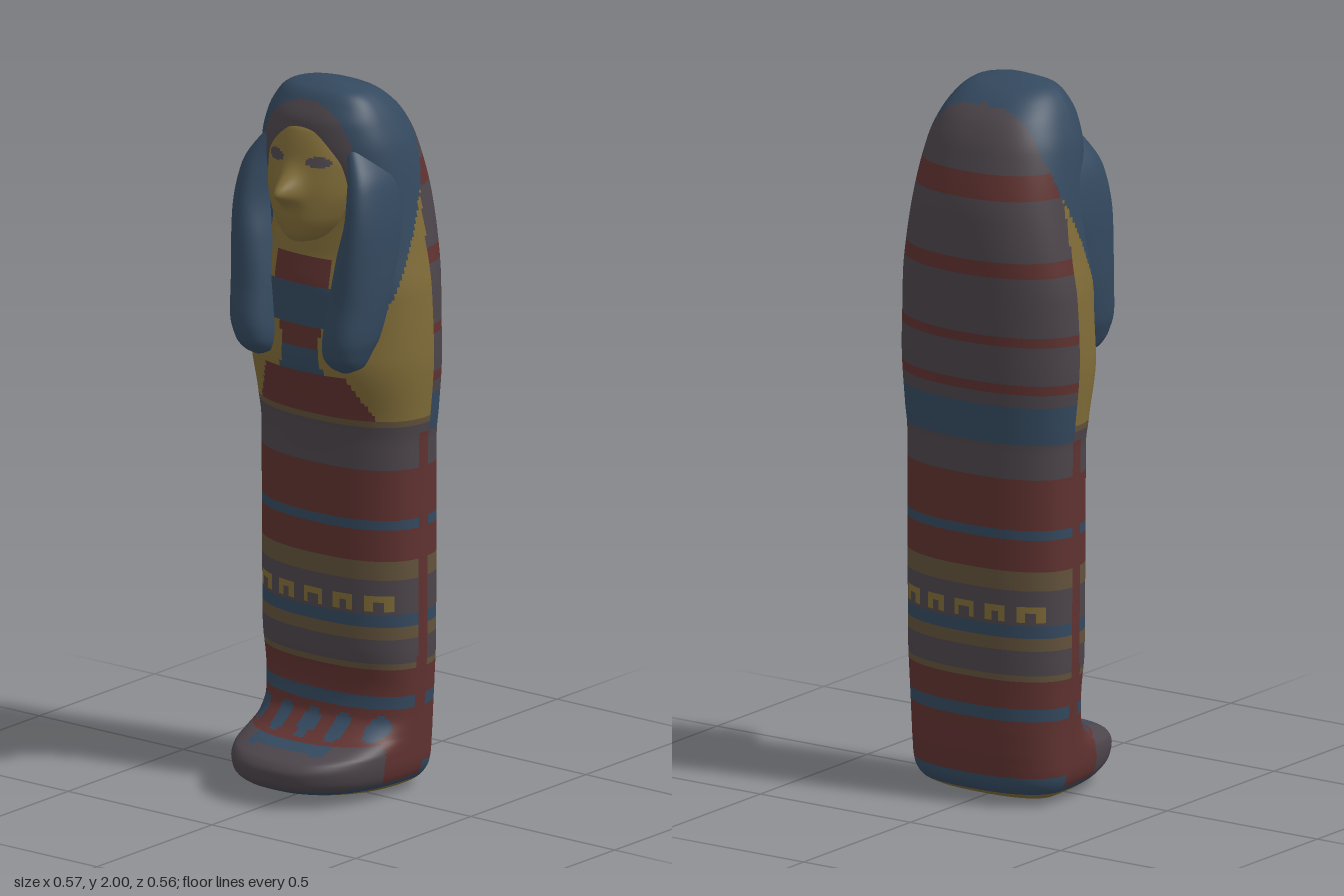
import * as THREE from 'three';

const names = ['blue', 'gold', 'red', 'greyViolet', 'brown'];
const hex = [0x34495f, 0x806c38, 0x5f3230, 0x4c454b, 0x62523b];
const [BLUE, GOLD, RED, GREY, BROWN] = [0, 1, 2, 3, 4];

// Section rows: [y, half width, front z, back z, sideways offset]
const caseRows = [
  [0, 0.12, -0.01, -0.13], [0.015, 0.19, 0.14, -0.18], [0.04, 0.225, 0.24, -0.225],
  [0.07, 0.24, 0.275, -0.24], [0.1, 0.245, 0.28, -0.243], [0.125, 0.246, 0.262, -0.245],
  [0.145, 0.247, 0.2, -0.247], [0.17, 0.248, 0.115, -0.248], [0.22, 0.25, 0.055, -0.25],
  [0.3, 0.255, 0.043, -0.25], [0.42, 0.261, 0.06, -0.25], [1.0, 0.264, 0.066, -0.25],
  [1.07, 0.272, 0.075, -0.252], [1.25, 0.286, 0.122, -0.263], [1.42, 0.279, 0.122, -0.275],
  [1.55, 0.259, 0.1, -0.28], [1.65, 0.243, 0.09, -0.276], [1.83, 0.212, 0.115, -0.234],
  [1.9, 0.186, 0.108, -0.2], [1.95, 0.156, 0.083, -0.15], [1.98, 0.122, 0.06, -0.1],
  [2.0, 0.04, 0.015, -0.02],
];
const lappetRows = [
  [1.22, 0.015, 0.12, 0.07, 0.15], [1.235, 0.042, 0.145, 0.05, 0.15], [1.27, 0.058, 0.172, 0.03, 0.152],
  [1.32, 0.067, 0.18, 0, 0.16], [1.42, 0.07, 0.166, -0.04, 0.17], [1.55, 0.062, 0.156, -0.07, 0.183],
  [1.65, 0.05, 0.143, -0.08, 0.193], [1.75, 0.042, 0.122, -0.08, 0.183], [1.88, 0.015, 0.06, -0.03, 0.12],
];
const faceRows = [
  [1.565, 0.025, 0.115, 0], [1.575, 0.055, 0.145, 0], [1.6, 0.09, 0.161, 0], [1.65, 0.124, 0.17, 0],
  [1.72, 0.146, 0.165, 0], [1.79, 0.15, 0.148, 0], [1.88, 0.11, 0.117, 0], [1.91, 0.05, 0.08, 0],
];

// Monotone cubic interpolation of section rows, sampled at even heights
function sampleRows(rows, step) {
  const slope = (i, k) => (rows[i + 1][k] - rows[i][k]) / (rows[i + 1][0] - rows[i][0]);
  const tangent = (i, k) => {
    if (i === 0) return slope(0, k);
    if (i === rows.length - 1) return slope(i - 1, k);
    const a = slope(i - 1, k), b = slope(i, k);
    return a * b <= 0 ? 0 : (2 * a * b) / (a + b);
  };
  const out = [];
  for (let i = 0; i < rows.length - 1; i++) {
    const h = rows[i + 1][0] - rows[i][0];
    const n = Math.max(4, Math.ceil(h / step));
    for (let j = 0; j < n; j++) {
      const t = j / n, t2 = t * t, t3 = t2 * t;
      out.push(rows[i].map((v, k) => k === 0 ? v + h * t
        : (2 * t3 - 3 * t2 + 1) * v + (t3 - 2 * t2 + t) * h * tangent(i, k)
        + (3 * t2 - 2 * t3) * rows[i + 1][k] + (t3 - t2) * h * tangent(i + 1, k)));
    }
  }
  out.push(rows[rows.length - 1]);
  return out;
}

// Closed loft through the sections: middle gives the z of the widest point, square the
// squareness, push the relief on the front; paint(x, y, z) picks the material of each face
function loft(name, materials, { rows, cols, step, middle, square, paint, side = 1, push = () => 0 }) {
  const rings = sampleRows(rows, step), pos = [], sets = materials.map(() => []);
  const pow = (v, e) => Math.sign(v) * Math.abs(v) ** e;
  for (const [y, w, zf, zb, cx = 0] of rings) {
    const zc = middle(y, zf, zb), e = 2 / square(y);
    for (let i = 0; i < cols; i++) {
      const a = (i / cols) * Math.PI * 2, c = pow(Math.cos(a), e);
      const x = side * cx + w * pow(Math.sin(a), e);
      pos.push(x, y, zc + c * (c > 0 ? zf - zc : zc - zb) + (c > 0 ? push(x, y) : 0));
    }
  }
  const face = (...v) => {
    const m = [0, 1, 2].map(k => v.reduce((s, p) => s + pos[p * 3 + k], 0) / v.length);
    const set = sets[paint(...m)];
    set.push(v[0], v[1], v[2]);
    if (v.length === 4) set.push(v[0], v[2], v[3]);
  };
  const last = (rings.length - 1) * cols, bottom = rings.length * cols;
  for (const [y, , zf, zb, cx = 0] of [rings[0], rings[rings.length - 1]]) {
    pos.push(side * cx, y, middle(y, zf, zb));
  }
  for (let i = 0; i < cols; i++) {
    const j = (i + 1) % cols;
    for (let r = 0; r < last; r += cols) face(r + i, r + j, r + cols + j, r + cols + i);
    face(bottom, j, i);
    face(bottom + 1, last + i, last + j);
  }
  const g = new THREE.BufferGeometry();
  g.setAttribute('position', new THREE.Float32BufferAttribute(pos, 3));
  g.setIndex(sets.flat());
  let start = 0;
  sets.forEach((s, m) => {
    if (s.length) g.addGroup(start, s.length, m);
    start += s.length;
  });
  g.computeVertexNormals();
  const mesh = new THREE.Mesh(g, materials);
  mesh.name = name;
  return mesh;
}

// Bands are [upper height, colour], from the bottom up
const band = (bands, y) => bands.find(b => y < b[0])[1];
const legBands = [[0.25, RED], [0.28, BLUE], [0.36, RED], [0.375, BROWN], [0.45, GREY], [0.485, BROWN],
  [0.52, BLUE], [0.62, GREY], [0.67, BROWN], [0.76, RED], [0.79, BLUE], [0.93, RED]];
const frontBands = [...legBands, [1.05, GREY], [9, BROWN]];
const backBands = [[0.085, BLUE], ...legBands, [1.03, GREY], [1.13, BLUE], [1.17, GREY], [1.2, RED],
  [1.3, GREY], [1.335, RED], [1.5, GREY], [1.545, RED], [1.71, GREY], [1.78, RED], [9, GREY]];
const bibBands = [[1.2, RED], [1.27, BLUE], [1.33, RED], [1.45, BLUE], [1.52, RED], [9, GOLD]];

function paintCase(x, y, z) {
  const ax = Math.abs(x), col = Math.abs(x / 0.098 - Math.round(x / 0.098)) * 0.098;
  if (y < 0.035 && z < 0.19) return GOLD;
  // Row of small gold ornaments round the legs
  if (y > 0.53 && y < 0.57 && col < 0.032 && ax < 0.24 && (y > 0.553 || col > 0.014)) return GOLD;
  const edge = y < 1.68 ? -0.11 : -0.11 - Math.min(0.045, (y - 1.68) * 0.3);
  if (z < edge) return band(backBands, y);
  // Foot with its toe cap and dots
  if (y < 0.25) {
    if (y < 0.05) return BLUE;
    if (y < 0.155 && z > 0.04) return z > 0.14 && z < 0.195 && ax < 0.13 && y > 0.13 ? BLUE : GREY;
    return z > -0.02 && (col / 0.026) ** 2 + ((y - 0.195) / 0.032) ** 2 < 1 ? BLUE : RED;
  }
  if (y < 1.03 && z < -0.07) return RED;
  if (y < 1.068) return band(frontBands, y);
  // Headband and headdress
  if (y > 1.7) return z > 0 && (x / 0.17) ** 2 + ((y - 1.755) / 0.205) ** 2 < 1 ? GREY : BLUE;
  // Chest panel, with gold either side and the headdress over the shoulders
  const halfBib = y < 1.2 ? 0.2 - (y - 1.07) * 0.5 : y < 1.33 ? 0.06 + Math.abs(y - 1.27) * 0.2 : y < 1.45 ? 0.11 : 0.09;
  if (z > 0 && ax < halfBib) return band(bibBands, y);
  if (y > 1.24 && ax > 0.13 && z > 0.11 - (y - 1.22) * 0.46) return BLUE;
  return GOLD;
}

// Eyes on the gold face
function paintFace(x, y, z) {
  const eye = ((Math.abs(x) - 0.072) / 0.034) ** 2 + ((y - 1.804) / 0.015) ** 2 < 1;
  return z > 0.04 && eye ? GREY : GOLD;
}

// Nose ridge: long slope above the tip, short one below
const nose = (x, y) => 0.062 * Math.exp(-((x / 0.034) ** 2) - ((y - 1.72) / (y > 1.72 ? 0.045 : 0.03)) ** 2);

export function createModel() {
  const materials = hex.map((color, i) => {
    const m = new THREE.MeshStandardMaterial({ color });
    m.name = names[i];
    return m;
  });
  const group = new THREE.Group();
  group.name = 'mummyCoffin';
  group.add(loft('coffinCase', materials, {
    rows: caseRows, cols: 160, step: 0.009, paint: paintCase,
    middle: y => -0.1 + 0.1 * (Math.max(0, y - 1.5) / 0.5) ** 1.5,
    square: y => 2.4 - 0.3 * Math.exp(-(((y - 1.35) / 0.2) ** 2)),
  }));
  group.add(loft('face', materials, {
    rows: faceRows, cols: 128, step: 0.005, paint: paintFace, push: nose,
    middle: () => 0.02, square: () => 2.1,
  }));
  for (const side of [1, -1]) {
    group.add(loft(side > 0 ? 'leftLappet' : 'rightLappet', materials, {
      rows: lappetRows, cols: 40, step: 0.02, paint: () => BLUE, side,
      middle: (y, zf, zb) => (zf + zb) / 2, square: () => 2.4,
    }));
  }
  return group;
}
